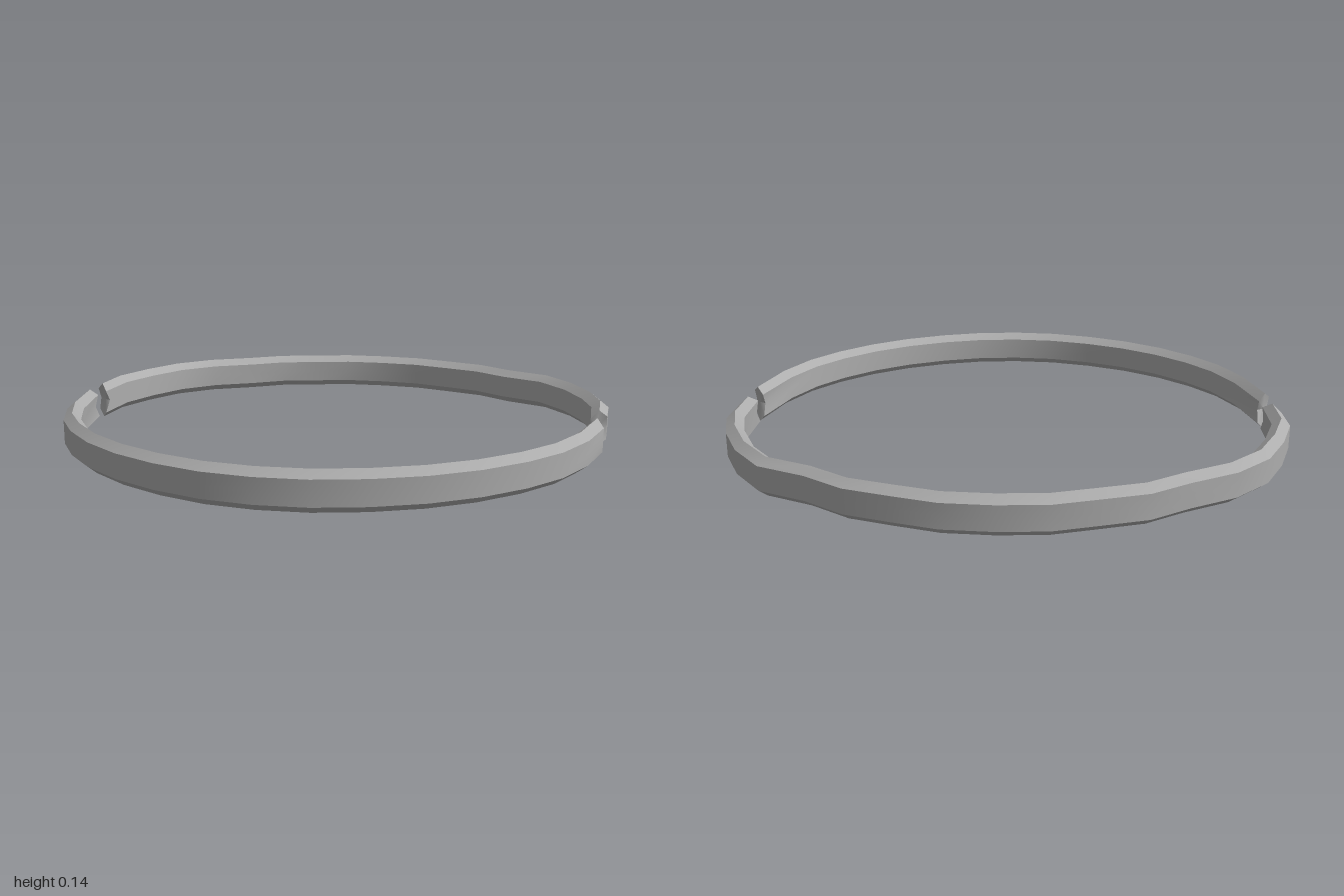
import * as THREE from 'three';
import { toCreasedNormals } from 'three/addons/utils/BufferGeometryUtils.js';

const steel = new THREE.MeshStandardMaterial({ color: 0xadadad });
steel.name = 'grey steel';

// Hexagonal section: [radial scale, height], with mid points on the two walls
const section = [
  [1, 0.025], [1, 0.068], [1, 0.11], [0.969, 0.135],
  [0.938, 0.11], [0.938, 0.068], [0.938, 0.025], [0.969, 0],
];
// Outer outlines [x, z], without the broken ends
const frontHalf = [[0.17, 0.94], [0.34, 0.89], [0.5, 0.815], [0.645, 0.714], [0.77, 0.59], [0.868, 0.455], [0.943, 0.285]];
const frontPath = [...frontHalf.map(([x, z]) => [-x, z]).reverse(), [0, 0.955], ...frontHalf];
const backPath = [
  [1, -0.235], [0.957, -0.39], [0.88, -0.55], [0.77, -0.69], [0.605, -0.765], [0.468, -0.86],
  [0.315, -0.91], [0.165, -0.955], [0, -0.965], [-0.165, -0.955], [-0.31, -0.91], [-0.466, -0.86],
  [-0.595, -0.77], [-0.75, -0.68], [-0.87, -0.555], [-0.945, -0.4], [-1, -0.232],
];
// Jagged break: z of every section point, in section order
const frontBreak = [0.1, 0.12, 0.1, 0.06, 0.04, 0.065, 0.035, 0.055];
const backBreak = [-0.085, -0.1, -0.08, -0.06, -0.03, -0.06, -0.022, -0.06];

function halfRing(name, path, breakZ, endX, capZ) {
  const endRow = side => section.map(([s, y], j) => [side * (0.94 + (s - 0.938) / 0.062 * (endX - 0.94)), y, breakZ[j]]);
  const startSide = Math.sign(path[0][0]);
  const rows = [
    endRow(startSide),
    ...path.map(([x, z]) => section.map(([s, y]) => [x * s, y, z * s])),
    endRow(-startSide),
  ];
  const n = section.length;
  const positions = [];
  const tri = (a, b, c) => positions.push(...a, ...b, ...c);

  // Walls and bevels along the arc
  for (let i = 0; i < rows.length - 1; i++) {
    for (let j = 0; j < n; j++) {
      const k = (j + 1) % n;
      const [a, b, c, d] = [rows[i][j], rows[i + 1][j], rows[i + 1][k], rows[i][k]];
      tri(a, b, c);
      tri(a, c, d);
    }
  }
  // Broken end faces
  const last = rows[rows.length - 1];
  const centre = side => [side * 0.965, 0.068, capZ];
  for (let j = 0; j < n; j++) {
    const k = (j + 1) % n;
    tri(centre(startSide), rows[0][j], rows[0][k]);
    tri(centre(-startSide), last[k], last[j]);
  }

  const geometry = new THREE.BufferGeometry();
  geometry.setAttribute('position', new THREE.Float32BufferAttribute(positions, 3));
  const mesh = new THREE.Mesh(toCreasedNormals(geometry, 0.65), steel);
  mesh.name = name;
  mesh.position.z = 0.005;
  return mesh;
}

export function createModel() {
  const group = new THREE.Group();
  group.name = 'brokenRing';
  group.add(
    halfRing('frontHalfRing', frontPath, frontBreak, 0.987, 0.08),
    halfRing('backHalfRing', backPath, backBreak, 0.997, -0.075),
  );
  return group;
}
